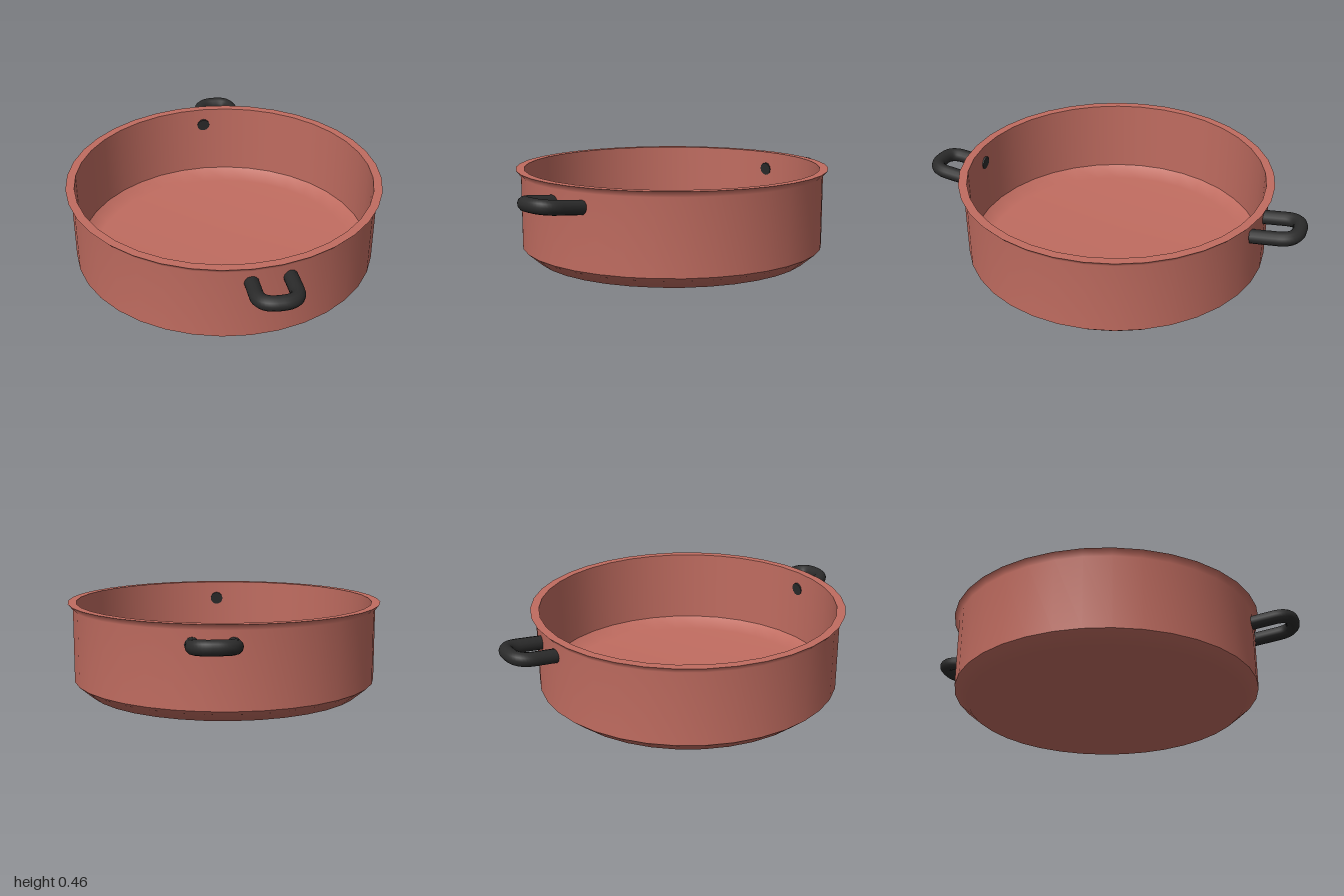
import * as THREE from 'three';
import { mergeGeometries } from 'three/addons/utils/BufferGeometryUtils.js';

const SEGMENTS = 36;

// Lathe each section separately: smooth inside a section, sharp between sections
function latheSections(sections) {
  return mergeGeometries(sections.map(points =>
    new THREE.LatheGeometry(points.map(([r, y]) => new THREE.Vector2(r, y)), SEGMENTS)));
}

// U-shaped loop handle rising slightly outward; side is +1 (front) or -1 (back)
function makeHandle(side, material) {
  const tubeRadius = 0.035, width = 0.184, bend = 0.085;
  const inner = 0.75, outer = 0.965;
  const at = (x, z) => new THREE.Vector3(x, 0.363 + (z - inner) * 0.12, z * side);

  const path = new THREE.CurvePath();
  path.add(new THREE.LineCurve3(at(0, inner), at(0, outer - bend)));
  path.add(new THREE.QuadraticBezierCurve3(at(0, outer - bend), at(0, outer), at(bend, outer)));
  path.add(new THREE.LineCurve3(at(bend, outer), at(width - bend, outer)));
  path.add(new THREE.QuadraticBezierCurve3(at(width - bend, outer), at(width, outer), at(width, outer - bend)));
  path.add(new THREE.LineCurve3(at(width, outer - bend), at(width, inner)));

  const handle = new THREE.Group();
  const loop = new THREE.Mesh(new THREE.TubeGeometry(path, 48, tubeRadius, 12), material);
  loop.name = 'handleLoop';
  handle.add(loop);

  // Flat caps on both ends
  for (const x of [0, width]) {
    const cap = new THREE.Mesh(new THREE.CircleGeometry(tubeRadius, 12), material);
    cap.name = 'handleEnd';
    cap.position.copy(at(x, inner));
    cap.lookAt(at(x, inner - 1));
    handle.add(cap);
  }
  return handle;
}

export function createModel() {
  const copper = new THREE.MeshStandardMaterial({ color: 0xc06c60 });
  copper.name = 'copper red';
  const black = new THREE.MeshStandardMaterial({ color: 0x2b2b2b });
  black.name = 'handle black';

  const model = new THREE.Group();
  model.name = 'pan';

  // Thin-walled bowl
  const bowl = new THREE.Mesh(latheSections([
    [[0, 0], [0.702, 0], [0.775, 0.062]],           // base and outer bevel
    [[0.775, 0.062], [0.775, 0.43], [0.8, 0.46]],   // outer wall and flared rim
    [[0.8, 0.46], [0.757, 0.46]],                   // rim top
    [[0.757, 0.46], [0.757, 0.074]],                // inner wall
    [[0.757, 0.074], [0.692, 0.02], [0, 0.02]],     // inner bevel and floor
  ]), copper);
  bowl.name = 'bowl';
  model.add(bowl);

  // Handles, mirrored front to back
  for (const [name, side] of [['frontHandle', 1], ['backHandle', -1]]) {
    const handle = makeHandle(side, black);
    handle.name = name;
    model.add(handle);
  }
  return model;
}
